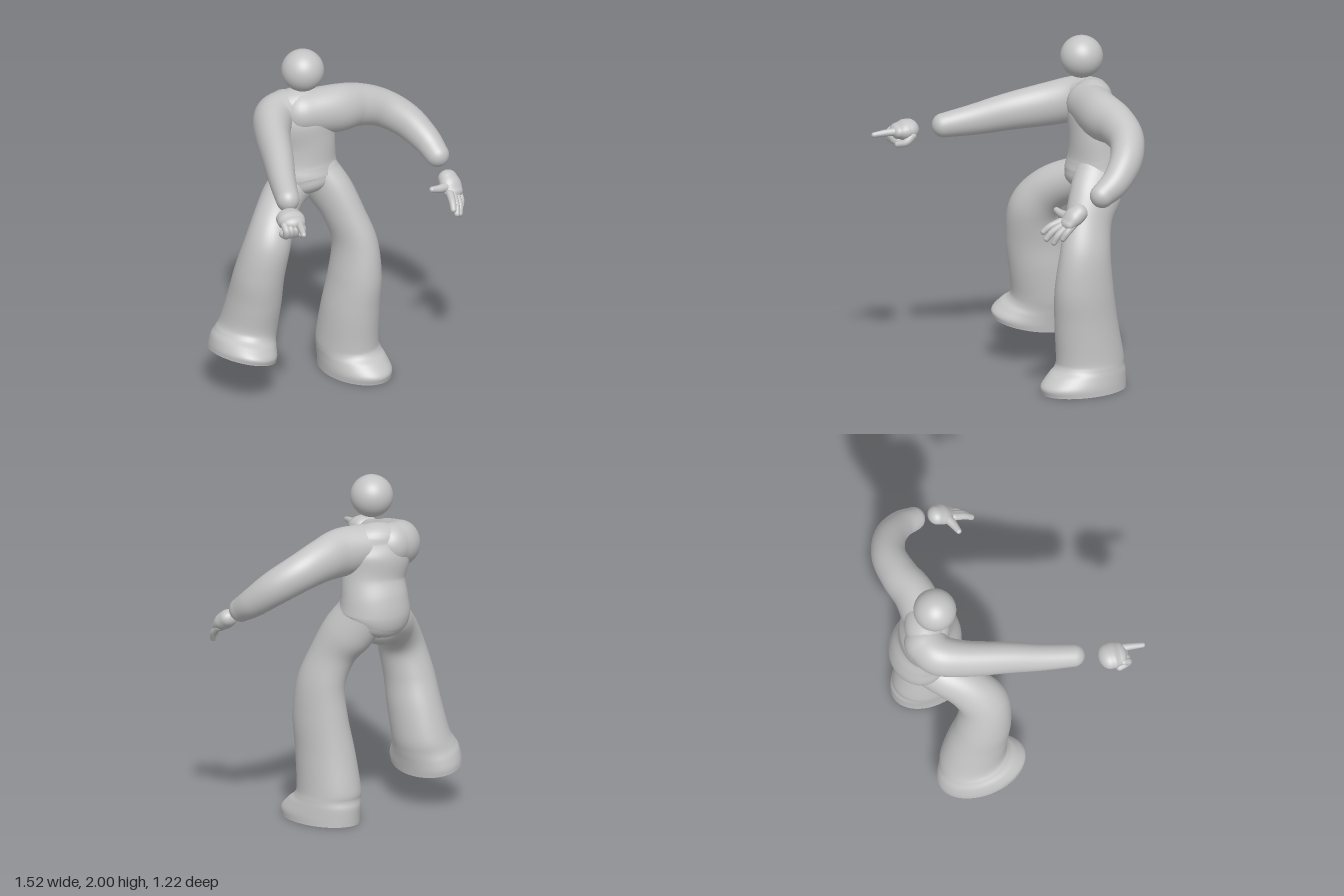
import * as THREE from 'three';

const grey = new THREE.MeshStandardMaterial({ color: 0xc4c4c4 });
grey.name = 'matte grey';

// Smooth limb through rows of [x, y, z, ra, rb, (nx, ny, nz)]. Each ring is an ellipse,
// ra along ref and rb across it; startCap / endCap are dome heights (0 = flat end).
function limb(name, rows, { ref = [1, 0, 0], startCap, endCap, seg = 36, steps = 8 } = {}) {
  const curve = (f) => new THREE.CatmullRomCurve3(rows.map(f), false, 'catmullrom', 0.5);
  const path = curve((r) => new THREE.Vector3(r[0], r[1], r[2]));
  const radii = curve((r) => new THREE.Vector3(r[3], r[4], 0));
  const normals = rows[0].length > 5 ? curve((r) => new THREE.Vector3(r[5], r[6], r[7]).normalize()) : null;
  const refV = new THREE.Vector3(...ref);
  const pos = [], idx = [];
  let rings = 0;

  const ring = (c, n, ra, rb) => {
    const u = refV.clone().addScaledVector(n, -refV.dot(n)).normalize();
    const v = n.clone().cross(u);
    for (let j = 0; j < seg; j++) {
      const a = (j / seg) * Math.PI * 2;
      const p = c.clone().addScaledVector(u, ra * Math.cos(a)).addScaledVector(v, rb * Math.sin(a));
      pos.push(p.x, p.y, p.z);
    }
    rings++;
  };
  const frame = (t) => {
    const r = radii.getPoint(t);
    return { c: path.getPoint(t), n: (normals ? normals.getPoint(t) : path.getTangent(t)).normalize(), ra: r.x, rb: r.y };
  };
  const dome = (f, h, k) => {
    const a = (k / 8) * Math.PI / 2, s = Math.max(Math.cos(a), 0.002);
    ring(f.c.clone().addScaledVector(f.n, h * Math.sin(a)), f.n, f.ra * s, f.rb * s);
  };

  const first = frame(0), last = frame(1);
  const h0 = startCap ?? Math.min(first.ra, first.rb);
  const h1 = endCap ?? Math.min(last.ra, last.rb);
  for (let k = 8; k > 0; k--) dome(first, -h0, k);
  const total = (rows.length - 1) * steps;
  for (let i = 0; i <= total; i++) {
    const f = frame(i / total);
    ring(f.c, f.n, f.ra, f.rb);
  }
  if (h1 > 0) for (let k = 1; k <= 8; k++) dome(last, h1, k);

  for (let i = 0; i < rings - 1; i++) {
    for (let j = 0; j < seg; j++) {
      const a = i * seg + j, b = i * seg + (j + 1) % seg;
      idx.push(a, b, a + seg, b, b + seg, a + seg);
    }
  }
  // flat sole with its own vertices, so its rim stays sharp
  if (h1 === 0) {
    const base = rings * seg;
    ring(last.c, last.n, last.ra, last.rb);
    pos.push(last.c.x, last.c.y, last.c.z);
    for (let j = 0; j < seg; j++) idx.push(base + seg, base + j, base + (j + 1) % seg);
  }

  const g = new THREE.BufferGeometry();
  g.setAttribute('position', new THREE.Float32BufferAttribute(pos, 3));
  g.setIndex(idx);
  g.computeVertexNormals();
  const mesh = new THREE.Mesh(g, grey);
  mesh.name = name;
  return mesh;
}

// Finger: thin tube with constant or tapering radius and round ends
function finger(name, pts, r0, r1 = r0, ref = [1, 0, 0]) {
  const rows = pts.map((p, i) => {
    const r = r0 + (r1 - r0) * i / (pts.length - 1);
    return [...p, r, r];
  });
  return limb(name, rows, { ref, seg: 16, steps: 6 });
}

function pointingHand() {
  const hand = new THREE.Group();
  hand.name = 'rightHand';
  hand.add(limb('rightPalm', [
    [-0.665, 1.415, 0.4, 0.078, 0.058],
    [-0.672, 1.412, 0.43, 0.08, 0.058],
    [-0.682, 1.41, 0.46, 0.07, 0.045],
  ], { seg: 28 }));
  hand.add(finger('rightIndexFinger', [[-0.645, 1.415, 0.45], [-0.68, 1.41, 0.53], [-0.713, 1.4, 0.602]], 0.026, 0.015));
  // three fingers curled under the palm
  for (let i = 0; i < 3; i++) {
    const x = -0.685 - i * 0.027, z = 0.485 - i * 0.005;
    hand.add(finger('rightCurledFinger', [
      [x, 1.41, z - 0.02], [x - 0.006, 1.385, z + 0.008], [x, 1.352, z - 0.005], [x + 0.004, 1.348, z - 0.045],
    ], 0.021));
  }
  hand.add(finger('rightThumb', [[-0.61, 1.39, 0.41], [-0.612, 1.355, 0.45], [-0.645, 1.342, 0.485]], 0.026, 0.018, [0, 1, 0]));
  return hand;
}

function openHand() {
  const hand = new THREE.Group();
  hand.name = 'leftHand';
  hand.add(limb('leftPalm', [
    [0.655, 1.19, 0.12, 0.057, 0.05],
    [0.65, 1.165, 0.155, 0.064, 0.05],
    [0.645, 1.135, 0.19, 0.058, 0.036],
  ], { seg: 28 }));
  const fingers = [
    ['leftIndexFinger', [0.605, 1.14, 0.21], [0.582, 1.115, 0.265], [0.565, 1.085, 0.298]],
    ['leftMiddleFinger', [0.63, 1.13, 0.205], [0.608, 1.09, 0.265], [0.592, 1.05, 0.295]],
    ['leftRingFinger', [0.655, 1.125, 0.195], [0.643, 1.075, 0.25], [0.63, 1.033, 0.27]],
    ['leftLittleFinger', [0.68, 1.13, 0.175], [0.677, 1.09, 0.215], [0.667, 1.058, 0.232]],
  ];
  for (const [name, ...pts] of fingers) hand.add(finger(name, pts, 0.023, 0.017));
  hand.add(finger('leftThumb', [[0.62, 1.165, 0.165], [0.56, 1.17, 0.172], [0.508, 1.18, 0.172]], 0.03, 0.017, [0, 1, 0]));
  return hand;
}

export function createModel() {
  const model = new THREE.Group();
  model.name = 'figure';

  // floating ball head
  const head = new THREE.Mesh(new THREE.SphereGeometry(0.122, 48, 32), grey);
  head.name = 'head';
  head.position.set(-0.02, 1.878, -0.35);
  model.add(head);

  // torso, turned a little to its right
  model.add(limb('torso', [
    [0.0, 1.64, -0.41, 0.165, 0.11],
    [0.0, 1.55, -0.41, 0.195, 0.14],
    [0.02, 1.42, -0.405, 0.185, 0.14],
    [0.025, 1.3, -0.42, 0.195, 0.165],
    [0.025, 1.22, -0.42, 0.205, 0.18],
    [0.03, 1.17, -0.41, 0.185, 0.175],
  ], { ref: [0.9, 0, 0.43], startCap: 0.095, endCap: 0.085, seg: 48 }));

  // arms
  model.add(limb('leftArm', [
    [0.0, 1.6, -0.385, 0.125, 0.125],
    [0.2, 1.585, -0.335, 0.14, 0.12],
    [0.35, 1.565, -0.335, 0.125, 0.11],
    [0.5, 1.515, -0.31, 0.11, 0.1],
    [0.615, 1.435, -0.23, 0.1, 0.092],
    [0.676, 1.34, -0.12, 0.085, 0.08],
    [0.684, 1.275, -0.02, 0.07, 0.068],
  ], { ref: [0, 1, 0] }));
  model.add(limb('rightArm', [
    [-0.07, 1.6, -0.45, 0.125, 0.12],
    [-0.17, 1.585, -0.425, 0.13, 0.115],
    [-0.266, 1.55, -0.3, 0.125, 0.1],
    [-0.375, 1.51, -0.1, 0.108, 0.088],
    [-0.47, 1.468, 0.07, 0.09, 0.076],
    [-0.555, 1.437, 0.235, 0.07, 0.066],
  ], { ref: [0, 1, 0] }));
  model.add(pointingHand(), openHand());

  // legs flow straight into flat-soled shoes
  model.add(limb('leftLeg', [
    [0.1, 1.22, -0.4, 0.12, 0.16, 0.2, -1, 0.3],
    [0.15, 1.1, -0.33, 0.12, 0.16, 0.2, -1, 0.4],
    [0.193, 0.97, -0.255, 0.112, 0.143, 0.15, -1, 0.25],
    [0.237, 0.8, -0.205, 0.118, 0.155, 0.05, -1, 0.1],
    [0.235, 0.6, -0.197, 0.137, 0.178, 0, -1, 0],
    [0.22, 0.4, -0.22, 0.152, 0.19, 0, -1, 0],
    [0.217, 0.2, -0.247, 0.163, 0.203, 0, -1, 0],
    [0.22, 0.14, -0.243, 0.168, 0.208, 0, -1, 0],
    [0.225, 0.1, -0.222, 0.172, 0.238, 0, -1, 0],
    [0.23, 0.045, -0.195, 0.178, 0.265, 0, -1, 0],
    [0.232, 0, -0.197, 0.178, 0.262, 0, -1, 0],
  ], { endCap: 0, seg: 48 }));
  model.add(limb('rightLeg', [
    [0.0, 1.15, -0.44, 0.12, 0.125, -0.8, -0.2, 0.5],
    [-0.14, 1.12, -0.37, 0.12, 0.125, -0.8, -0.25, 0.5],
    [-0.26, 1.05, -0.29, 0.12, 0.13, -0.75, -0.55, 0.4],
    [-0.345, 0.93, -0.24, 0.13, 0.145, -0.4, -0.9, 0.1],
    [-0.385, 0.75, -0.265, 0.14, 0.16, -0.12, -1, -0.1],
    [-0.39, 0.58, -0.305, 0.15, 0.175, -0.03, -1, -0.12],
    [-0.4, 0.42, -0.345, 0.16, 0.19, -0.1, -1, 0],
    [-0.42, 0.355, -0.352, 0.17, 0.205, -0.2, -1, 0.05],
    [-0.44, 0.315, -0.343, 0.18, 0.235, -0.24, -1, 0.06],
    [-0.455, 0.27, -0.33, 0.185, 0.262, -0.24, -1, 0.06],
    [-0.46, 0.235, -0.332, 0.185, 0.26, -0.24, -1, 0.06],
  ], { ref: [0.97, 0, 0.25], endCap: 0, seg: 48 }));

  return model;
}
